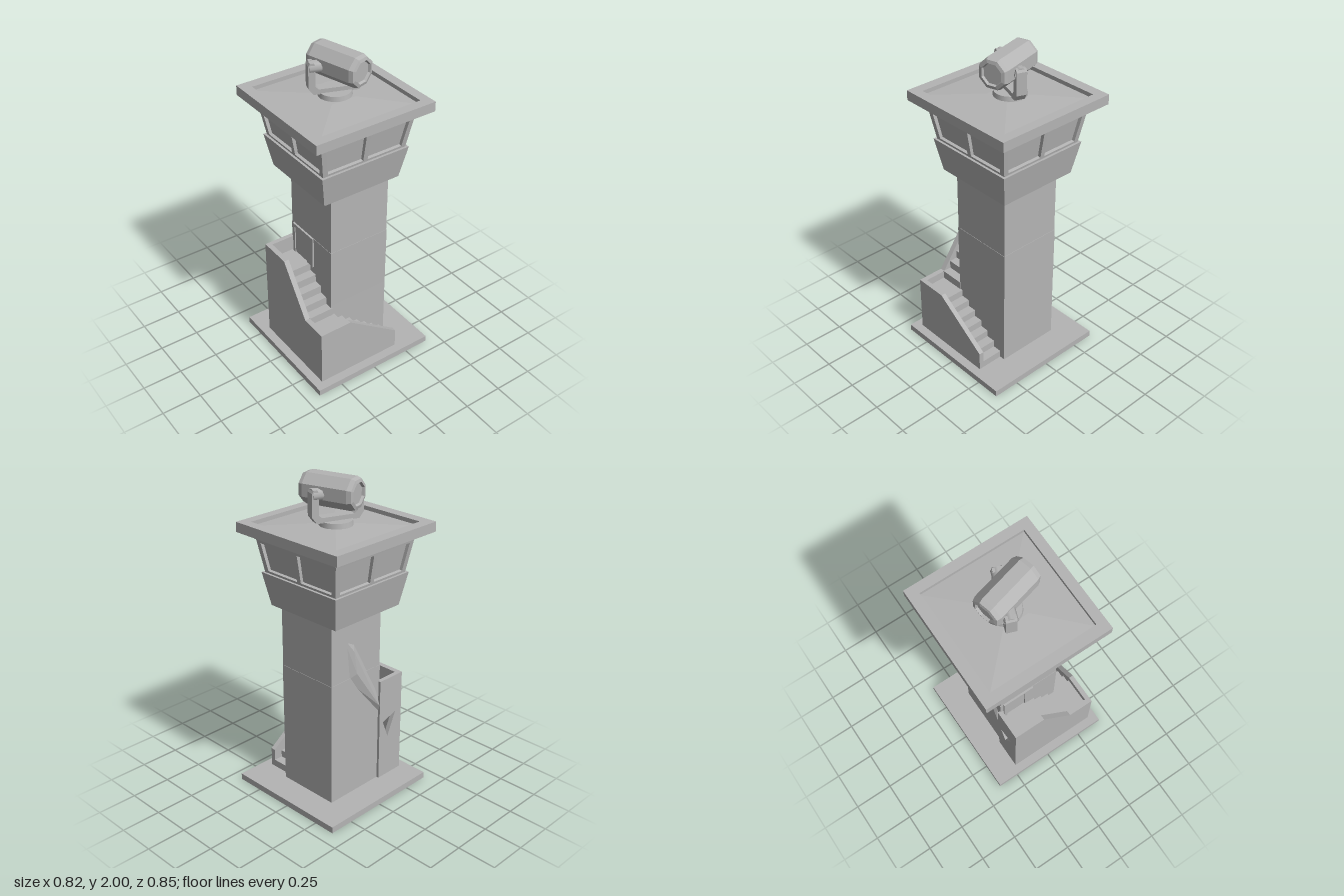
import * as THREE from 'three';
import { ConvexGeometry } from 'three/addons/geometries/ConvexGeometry.js';

export function createModel() {
  const model = new THREE.Group();
  const grey = new THREE.MeshStandardMaterial({ color: 0xb4b4b4 });
  grey.name = 'concrete grey';

  const add = (name, geometry, parent = model) => {
    const mesh = new THREE.Mesh(geometry, grey);
    mesh.name = name;
    parent.add(mesh);
    return mesh;
  };
  // box given by its limits
  const block = (name, x0, x1, y0, y1, z0, z1, parent) => {
    const g = new THREE.BoxGeometry(x1 - x0, y1 - y0, z1 - z0);
    g.translate((x0 + x1) / 2, (y0 + y1) / 2, (z0 + z1) / 2);
    return add(name, g, parent);
  };
  // square block whose half width changes from bottom to top
  const taper = (name, cx, cz, half0, half1, y0, y1) => {
    let g = new THREE.BoxGeometry(2, y1 - y0, 2);
    const p = g.attributes.position;
    for (let i = 0; i < p.count; i++) {
      const h = p.getY(i) < 0 ? half0 : half1;
      p.setXYZ(i, cx + p.getX(i) * h, p.getY(i) + (y0 + y1) / 2, cz + p.getZ(i) * h);
    }
    g = g.toNonIndexed();
    g.computeVertexNormals();
    return add(name, g);
  };
  const outline = (pts) => pts.map(([x, y]) => new THREE.Vector2(x, y));
  const plate = (pts, depth, ...holes) => {
    const shape = new THREE.Shape(outline(pts));
    holes.forEach((h) => shape.holes.push(new THREE.Path(outline(h))));
    return new THREE.ExtrudeGeometry(shape, { depth, bevelEnabled: false });
  };
  const rect = (x0, x1, y0, y1) => [[x0, y0], [x1, y0], [x1, y1], [x0, y1]];

  // ground slab and shaft in three courses
  block('baseSlab', -0.415, 0.41, 0, 0.04, -0.39, 0.42);
  taper('lowerShaft', 0.032, -0.008, 0.204, 0.204, 0.04, 0.43);
  taper('middleShaft', 0.032, -0.008, 0.204, 0.205, 0.43, 0.83);
  taper('upperShaft', 0.032, -0.008, 0.203, 0.203, 0.83, 1.22);

  // raised crease across the back of the shaft
  const crease = [
    [0.13, 1.1, -0.205], [0.05, 1.06, -0.205], [0.1, 0.82, -0.205], [-0.13, 0.72, -0.205],
    [-0.17, 0.5, -0.205], [0.06, 1.0, -0.222], [0.04, 0.85, -0.228], [-0.16, 0.56, -0.23],
  ].map((v) => new THREE.Vector3(...v));
  add('backCrease', new ConvexGeometry(crease));

  // lower flight along the front, with landing at the corner
  const stairs = new THREE.Group();
  stairs.name = 'stairs';
  model.add(stairs);
  const rise = 0.32 / 7, run = 0.35 / 6;
  for (let i = 0; i < 6; i++) {
    block('lowerStep', 0.2 - (i + 1) * run, 0.2 - i * run, 0.04, 0.04 + (i + 1) * rise, 0.19, 0.34, stairs);
  }
  block('cornerLanding', -0.33, -0.15, 0.04, 0.36, 0.19, 0.34, stairs);
  // upper flight along the side
  for (let i = 0; i < 4; i++) {
    block('upperStep', -0.33, -0.165, 0.04, 0.36 + (i + 1) * 0.052, 0.2 - (i + 1) * 0.055, 0.2 - i * 0.055, stairs);
  }
  block('upperLanding', -0.33, -0.165, 0.56, 0.62, -0.2, -0.02, stairs);

  // stair parapets
  const front = add('frontParapet', plate(
    [[-0.36, 0.04], [0.2, 0.04], [0.2, 0.16], [-0.15, 0.41], [-0.36, 0.41]], 0.03), stairs);
  front.position.z = 0.335;
  const side = add('sideParapet', plate(
    [[-0.365, 0.04], [0.228, 0.04], [0.228, 0.72], [0.02, 0.72], [-0.195, 0.41], [-0.365, 0.41]], 0.033), stairs);
  side.rotation.y = Math.PI / 2;
  side.position.x = -0.36;
  const back = add('backParapet', plate(
    rect(-0.359, -0.165, 0.04, 0.72), 0.028, [[-0.307, 0.465], [-0.24, 0.314], [-0.195, 0.43]]), stairs);
  back.position.z = -0.228;

  // door with frame at the upper landing
  const door = new THREE.Group();
  door.name = 'door';
  model.add(door);
  block('doorPanel', -0.176, -0.165, 0.62, 0.81, -0.17, -0.04, door);
  const frame = add('doorFrame', plate(
    [[-0.02, 0.62], [-0.02, 0.83], [0.19, 0.83], [0.19, 0.62], [0.17, 0.62], [0.17, 0.81], [0.04, 0.81], [0.04, 0.62]], 0.018), door);
  frame.rotation.y = Math.PI / 2;
  frame.position.x = -0.183;

  // cabin: flared parapet, recessed glazing, cornice
  const cx = 0.0175, cz = -0.026;
  taper('cabinParapet', cx, cz, 0.26, 0.297, 1.22, 1.425);
  taper('glazing', cx, cz, 0.262, 0.294, 1.42, 1.63);
  taper('cornice', cx, cz, 0.322, 0.325, 1.625, 1.667);
  // four tilted window frames with two panes each
  const pane = (s) => {
    const p = [[s * 0.015, 0.015], [s * 0.252, 0.015], [s * 0.28, 0.185], [s * 0.015, 0.185]];
    return s > 0 ? p : p.reverse();
  };
  for (let i = 0; i < 4; i++) {
    const wall = new THREE.Group();
    wall.name = 'windowWall';
    wall.position.set(cx, 1.424, cz);
    wall.rotation.y = (i * Math.PI) / 2;
    model.add(wall);
    const g = plate([[-0.282, 0], [0.282, 0], [0.315, 0.204], [-0.315, 0.204]], 0.025, pane(1), pane(-1));
    g.translate(0, 0, -0.025);
    const f = add('windowFrame', g, wall);
    f.position.z = 0.282;
    f.rotation.x = Math.atan(0.033 / 0.2);
  }

  // roof rim around a slightly hipped deck
  const rim = add('roofRim', plate(rect(-0.38, 0.41, -0.365, 0.425), 0.06, rect(-0.315, 0.35, -0.305, 0.36)));
  rim.rotation.x = -Math.PI / 2;
  rim.position.y = 1.665;
  taper('roofSoffit', 0.0175, -0.028, 0.334, 0.334, 1.666, 1.7);
  taper('roofDeck', 0.0175, -0.028, 0.334, 0.08, 1.7, 1.718);

  // searchlight on a turntable with a U-shaped yoke
  const light = new THREE.Group();
  light.name = 'searchlight';
  light.position.set(0.025, 0, -0.04);
  model.add(light);
  const turntable = add('turntable', new THREE.CylinderGeometry(0.095, 0.1, 0.035, 20), light);
  turntable.position.y = 1.729;

  const yoke = new THREE.Group();
  yoke.name = 'yoke';
  yoke.rotation.y = -0.35;
  light.add(yoke);
  const u = plate([
    [-0.13, 1.742], [0.13, 1.742], [0.158, 1.78], [0.158, 1.915], [0.148, 1.932], [0.125, 1.932], [0.118, 1.915],
    [0.118, 1.79], [0.1, 1.772], [-0.1, 1.772], [-0.118, 1.79], [-0.118, 1.915], [-0.125, 1.932],
    [-0.148, 1.932], [-0.158, 1.915], [-0.158, 1.78],
  ], 0.06);
  u.translate(0, 0, -0.03);
  add('yokeArms', u, yoke);
  for (const s of [-1, 1]) {
    const pivot = add('pivot', new THREE.CylinderGeometry(0.038, 0.038, 0.07, 8), yoke);
    pivot.rotation.z = Math.PI / 2;
    pivot.position.set(s * 0.115, 1.9, 0);
  }

  // octagonal lamp barrel with recessed faces at both ends
  const profile = outline([
    [0, -0.155], [0.062, -0.155], [0.068, -0.17], [0.088, -0.165], [0.097, -0.14],
    [0.097, 0.14], [0.088, 0.165], [0.068, 0.17], [0.062, 0.155], [0, 0.155],
  ]);
  let barrelShape = new THREE.LatheGeometry(profile, 8, Math.PI / 8).toNonIndexed();
  barrelShape.computeVertexNormals();
  const barrel = add('lampBarrel', barrelShape, light);
  barrel.rotation.set(Math.PI / 2, 0, -0.255);
  barrel.position.set(0.01, 1.91, 0.022);

  return model;
}
